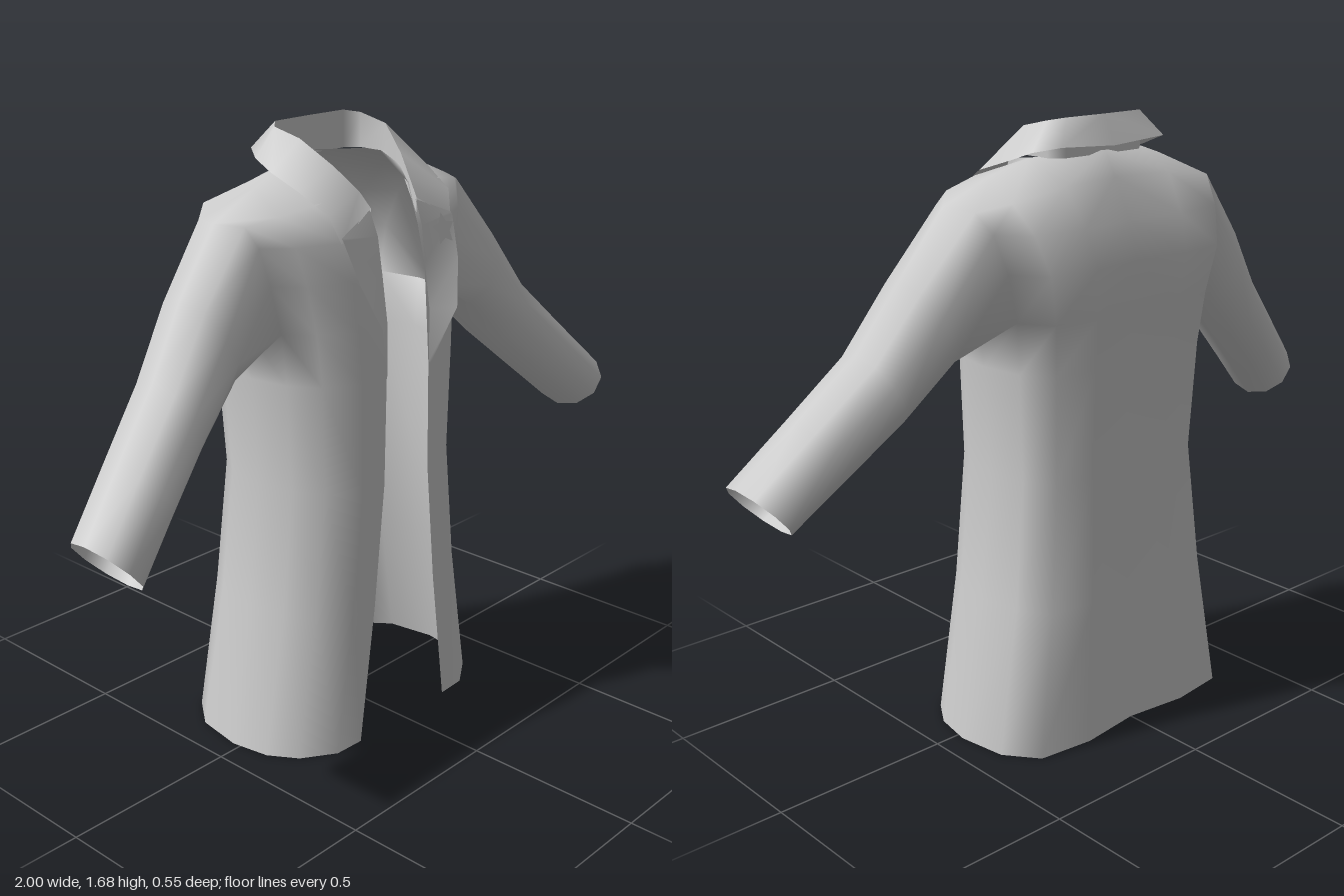
import * as THREE from 'three';
import { mergeVertices } from 'three/addons/utils/BufferGeometryUtils.js';

const material = new THREE.MeshStandardMaterial({ color: 0xcccccc, side: THREE.DoubleSide });

// Collects quads of the +x half together with their mirror image
function quad(out, a, b, c, d) {
  const m = ([x, y, z]) => [-x, y, z];
  out.push(...[a, b, c, a, c, d].flat());
  out.push(...[c, b, a, d, c, a].map(m).flat());
}

// Rows go upwards, columns from the front edge round to the back
function grid(out, rows, skip = () => false) {
  for (let r = 0; r < rows.length - 1; r++) {
    for (let c = 0; c < rows[r].length - 1; c++) {
      if (skip(r, c)) continue;
      quad(out, rows[r][c], rows[r][c + 1], rows[r + 1][c + 1], rows[r + 1][c]);
    }
  }
}

function smoothMesh(name, positions) {
  let g = new THREE.BufferGeometry();
  g.setAttribute('position', new THREE.Float32BufferAttribute(positions, 3));
  g = mergeVertices(g, 1e-4);
  g.computeVertexNormals();
  const mesh = new THREE.Mesh(g, material);
  mesh.name = name;
  return mesh;
}

// Half cross-section of the torso: front edge, side, then back centre.
// Front points run from the opening to the side, back points from the side to x = 0.
function torsoRow(y, edge, width, front, back, droop = 0) {
  const frontShape = [[0, 1], [.36, .98], [.72, .72], [.92, .38], [1, -.1]];
  const backShape = [[.95, .6], [.79, .93], [.42, 1], [0, .92]];
  const sag = x => y - droop * (x / width) ** 3;
  return [
    ...frontShape.map(([u, v]) => [edge + (width - edge) * u, v * front]),
    ...backShape.map(([u, v]) => [width * u, -v * back]),
  ].map(([x, z]) => [x, sag(x), z]);
}

// Sleeve ring from its lowest and highest points and its depth range
function sleeveRing([bx, by], [tx, ty], zFront, zBack, n = 10) {
  return Array.from({ length: n }, (_, i) => {
    const a = (i / n) * Math.PI * 2;
    const k = (1 - Math.cos(a)) / 2;
    return [bx + (tx - bx) * k, by + (ty - by) * k,
      (zFront + zBack) / 2 + Math.sin(a) * (zFront - zBack) / 2];
  });
}

function coat() {
  const out = [];
  // Shoulder seam, where front and back meet
  const [edge, neck, mid, tip] = [[.13, 1.56, .08], [.19, 1.58, -.05], [.3, 1.545, -.03], [.45, 1.48, -.02]];
  const rows = [
    torsoRow(0, .18, .43, .23, .272),
    torsoRow(.4, .125, .355, .23, .25),
    torsoRow(.75, .09, .315, .23, .23),
    torsoRow(1.05, .085, .33, .23, .245),
    torsoRow(1.19, .085, .345, .22, .26),
    torsoRow(1.32, .085, .38, .21, .275),
    torsoRow(1.42, .085, .41, .185, .24),
    torsoRow(1.525, .1, .44, .135, .18, .06),
    [edge, neck, mid, tip, tip, tip, mid, neck, [0, 1.59, -.13]],
  ];
  // Torso and skirt, with the armholes left open
  grid(out, rows, (r, c) => r >= 4 && (c === 3 || c === 4));

  // Sleeves grow out of the armhole boundary
  const armhole = [
    rows[4][4],
    ...[4, 5, 6, 7, 8].map(r => rows[r][3]),
    ...[7, 6, 5, 4].map(r => rows[r][5]),
  ];
  const rings = [
    armhole,
    sleeveRing([.46, 1.08], [.58, 1.315], .12, -.135),
    sleeveRing([.6, .95], [.7, 1.14], .14, -.1),
    sleeveRing([.74, .825], [.85, .99], .18, -.05),
    sleeveRing([.88, .7], [1, .84], .225, 0),
  ];
  for (let k = 0; k < rings.length - 1; k++) {
    for (let i = 0; i < armhole.length; i++) {
      const j = (i + 1) % armhole.length;
      quad(out, rings[k][i], rings[k + 1][i], rings[k + 1][j], rings[k][j]);
    }
  }
  return smoothMesh('coatWithSleeves', out);
}

function collar() {
  const fall = [[.215, 1.42, .19], [.235, 1.49, .165], [.25, 1.54, .08], [.24, 1.575, -.03],
    [.225, 1.6, -.1], [.18, 1.615, -.162], [0, 1.605, -.165]];
  const fold = [[.09, 1.49, .175], [.1, 1.53, .145], [.13, 1.59, .085], [.165, 1.655, 0],
    [.165, 1.675, -.09], [.13, 1.682, -.122], [0, 1.682, -.125]];
  // The stand drops from the fold to the neckline
  const base = fold.map(([x, y, z]) => [x, Math.min(y - .04, 1.58), z]);
  const outer = [], inner = [];
  grid(outer, [fall, fold]);
  grid(inner, [fold, base]);
  const group = new THREE.Group();
  group.name = 'collar';
  group.add(smoothMesh('collarFall', outer), smoothMesh('collarStand', inner));
  return group;
}

// Folded-back front edges, narrow at the bottom and widest at the collar
function lapels() {
  const out = [];
  grid(out, [
    [[.085, 1.055, .232], [.09, 1.05, .234]],
    [[.085, 1.2, .23], [.15, 1.2, .272]],
    [[.085, 1.32, .212], [.195, 1.32, .235]],
    [[.087, 1.42, .197], [.215, 1.43, .195]],
    [[.09, 1.485, .172], [.215, 1.435, .19]],
  ]);
  return smoothMesh('lapels', out);
}

// Small flat star pinned on the left lapel
function starPin() {
  const shape = new THREE.Shape(Array.from({ length: 10 }, (_, i) => {
    const a = (i / 10) * Math.PI * 2, r = i % 2 ? .024 : .045;
    return new THREE.Vector2(Math.sin(a) * r, Math.cos(a) * r);
  }));
  const mesh = new THREE.Mesh(new THREE.ShapeGeometry(shape), material);
  mesh.name = 'starPin';
  mesh.position.set(.16, 1.4, .212);
  mesh.rotation.x = -.28;
  return mesh;
}

export function createModel() {
  const model = new THREE.Group();
  model.name = 'openCoat';
  model.add(coat(), collar(), lapels(), starPin());
  return model;
}
